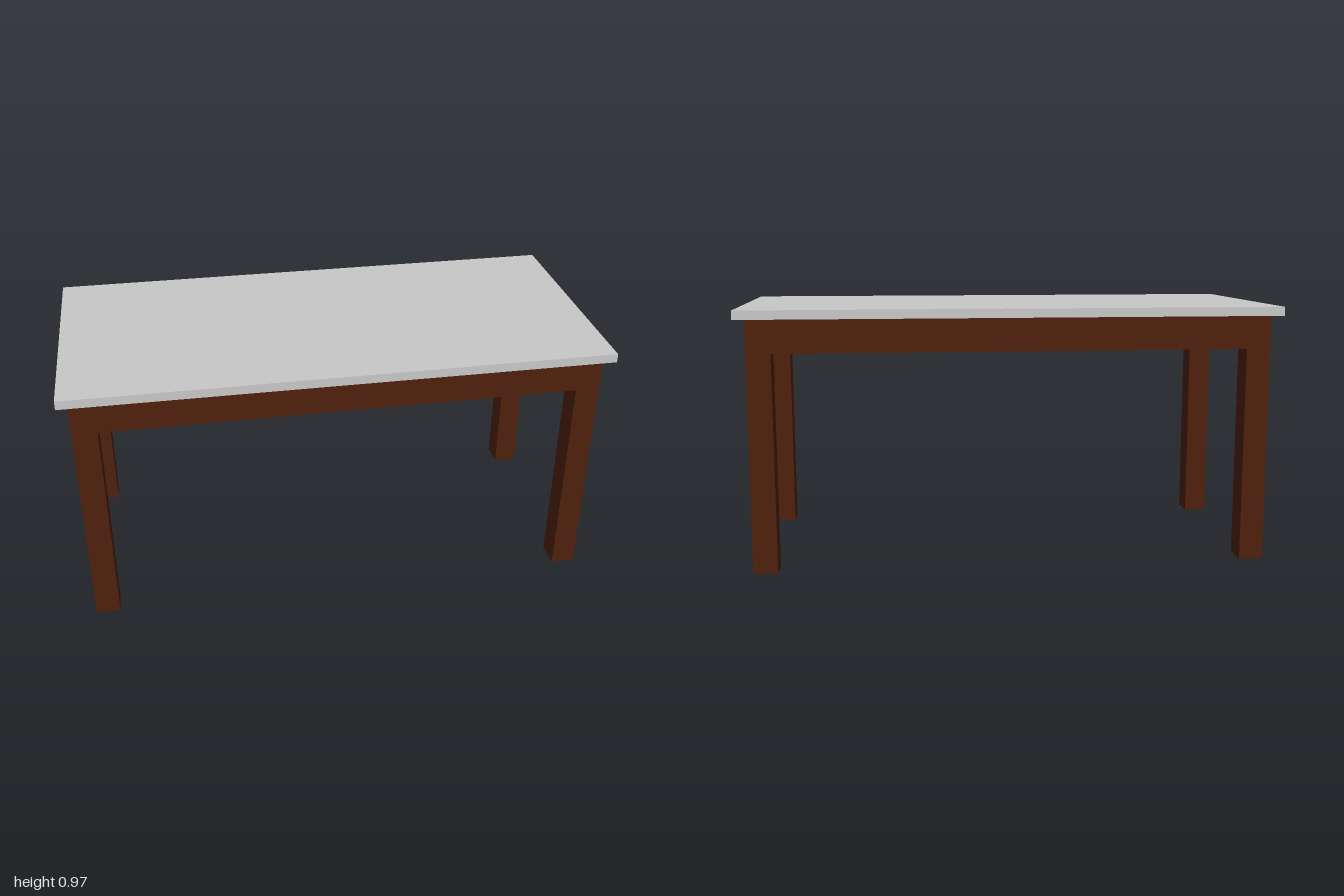
import * as THREE from 'three';

const wood = new THREE.MeshStandardMaterial({ color: 0x4f200d });
wood.name = 'dark brown wood';
const slab = new THREE.MeshStandardMaterial({ color: 0xc8c8c8 });
slab.name = 'light grey top';

// Main dimensions
const OUT_X = 0.963, OUT_Z = 0.433; // outer faces of the legs
const LEG_W = 0.09, LEG_D = 0.1;
const APRON_BOTTOM = 0.81, TOP_BOTTOM = 0.935, TOP = 0.968;

// Box given by its size, the height of its base and its centre
function box(name, material, w, h, d, base, x = 0, z = 0) {
  const mesh = new THREE.Mesh(new THREE.BoxGeometry(w, h, d), material);
  mesh.name = name;
  mesh.position.set(x, base + h / 2, z);
  return mesh;
}

export function createModel() {
  const table = new THREE.Group();
  table.name = 'table';

  // Flat slab top
  table.add(box('tableTop', slab, 2, TOP - TOP_BOTTOM, 0.936, TOP_BOTTOM));

  // Four square legs
  for (const [sx, side] of [[1, 'Left'], [-1, 'Right']]) {
    for (const [sz, end] of [[1, 'front'], [-1, 'back']]) {
      table.add(box(end + side + 'Leg', wood, LEG_W, TOP_BOTTOM, LEG_D, 0,
        sx * (OUT_X - LEG_W / 2), sz * (OUT_Z - LEG_D / 2)));
    }
  }

  // Solid apron, flush with the legs: wide middle and two end blocks between legs
  const apronH = TOP_BOTTOM - APRON_BOTTOM;
  table.add(box('apron', wood, 2 * (OUT_X - LEG_W), apronH, 2 * OUT_Z, APRON_BOTTOM));
  for (const [sx, side] of [[1, 'left'], [-1, 'right']]) {
    table.add(box(side + 'ApronEnd', wood, LEG_W, apronH, 2 * (OUT_Z - LEG_D),
      APRON_BOTTOM, sx * (OUT_X - LEG_W / 2)));
  }

  return table;
}
